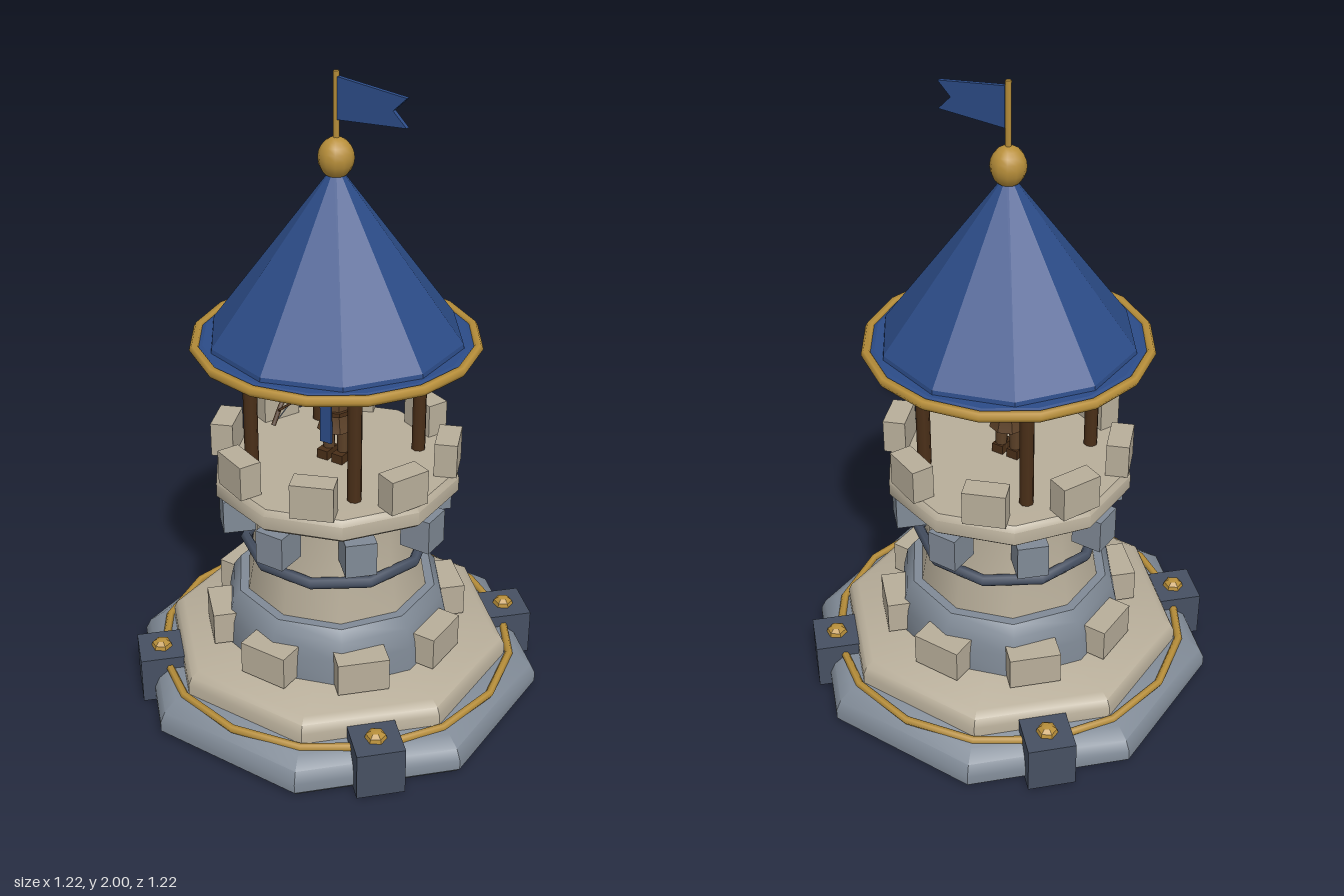
import * as THREE from 'three';
import { toCreasedNormals } from 'three/addons/utils/BufferGeometryUtils.js';

const mat = (name, color) => Object.assign(new THREE.MeshStandardMaterial({ color }), { name });

export function createModel() {
  const model = new THREE.Group();
  model.name = 'archerTower';
  const stone = mat('pale stone', 0xb8ae9a);
  const grey = mat('grey stone', 0x808a96);
  const slate = mat('dark slate', 0x465062);
  const gold = mat('gold', 0xb88f3a);
  const blue = mat('royal blue', 0x2c4c88);
  const wood = mat('dark wood', 0x4a2f18);
  const leather = mat('leather', 0x5c4128);
  const steel = mat('steel', 0x8d99a6);
  const skin = mat('skin', 0xb5a58e);

  const add = (name, geo, material, x = 0, y = 0, z = 0, parent = model) => {
    const mesh = new THREE.Mesh(geo, material);
    mesh.name = name;
    mesh.position.set(x, y, z);
    parent.add(mesh);
    return mesh;
  };
  // Faceted solid of revolution from [radius, height] pairs
  const turned = (points, sides, crease = 0.7) => toCreasedNormals(
    new THREE.LatheGeometry(points.map(p => new THREE.Vector2(...p)), sides), crease);
  // Horizontal hoop
  const hoop = (name, r, tube, sides, material, y) =>
    add(name, new THREE.TorusGeometry(r, tube, 6, sides).rotateX(Math.PI / 2), material, 0, y);
  // Ring of blocks facing outward
  const blockRing = (name, size, r, y, offset, material) => {
    for (let i = 0; i < 8; i++) {
      const a = (i + offset) * Math.PI / 4;
      add(name, new THREE.BoxGeometry(...size), material, r * Math.sin(a), y, r * Math.cos(a)).rotation.y = a;
    }
  };
  // Rod between two points
  const rod = (name, a, b, r, material, parent, sides = 6) => {
    const p = new THREE.Vector3(...a), q = new THREE.Vector3(...b);
    const m = add(name, new THREE.CylinderGeometry(r, r, p.distanceTo(q), sides), material, 0, 0, 0, parent);
    m.position.copy(p).lerp(q, 0.5);
    m.quaternion.setFromUnitVectors(new THREE.Vector3(0, 1, 0), q.sub(p).normalize());
    return m;
  };

  // Octagonal foundation
  add('foundation', turned([[0, 0], [0.645, 0], [0.662, 0.018], [0.662, 0.05], [0.645, 0.085], [0.605, 0.115], [0, 0.118]], 8), grey)
    .rotation.y = Math.PI / 8;
  hoop('foundationTrim', 0.573, 0.013, 16, gold, 0.117);
  add('upperStep', turned([[0, 0.1], [0.557, 0.1], [0.557, 0.15], [0.545, 0.175], [0.52, 0.19], [0, 0.192]], 8), stone)
    .rotation.y = Math.PI / 8;

  // Corner buttresses with gold studs
  for (const sx of [-1, 1]) for (const sz of [-1, 1]) {
    add('cornerBlock', new THREE.BoxGeometry(0.148, 0.156, 0.148), slate, sx * 0.408, 0.078, sz * 0.408)
      .rotation.y = Math.PI / 4;
    add('cornerStud', turned([[0.034, 0], [0.03, 0.014], [0.016, 0.024], [0, 0.026]], 6, 0.2), gold,
      sx * 0.408, 0.155, sz * 0.408);
  }

  // Tower shaft
  blockRing('lowerMerlon', [0.16, 0.108, 0.08], 0.373, 0.25, 0, stone);
  add('shaftSkirt', turned([[0.37, 0.19], [0.365, 0.27], [0.35, 0.335], [0.325, 0.37], [0, 0.372]], 10), grey);
  add('shaft', turned([[0.298, 0.36], [0.27, 0.52], [0.255, 0.7], [0.255, 0.73]], 10), stone);
  hoop('shaftBand', 0.288, 0.018, 10, slate, 0.508);
  add('shaftCollar', turned([[0.25, 0.685], [0.262, 0.69], [0.262, 0.708], [0.25, 0.715]], 10), grey);
  blockRing('corbel', [0.095, 0.11, 0.1], 0.315, 0.642, 0, grey);

  // Fighting platform
  add('platform', turned([[0, 0.72], [0.375, 0.72], [0.389, 0.732], [0.389, 0.775], [0.375, 0.792], [0, 0.794]], 10), stone);
  blockRing('upperMerlon', [0.13, 0.11, 0.07], 0.348, 0.848, 0.5, stone);
  for (const sx of [-1, 1]) for (const sz of [-1, 1])
    add('roofPost', new THREE.CylinderGeometry(0.022, 0.022, 0.41, 8), wood, sx * 0.187, 0.995, sz * 0.187);

  // Roof, finial and flag
  add('roofEave', turned([[0, 1.172], [0.4, 1.172], [0.425, 1.2], [0.4, 1.212], [0, 1.214]], 16, 0.2), blue);
  add('roofCone', turned([[0.388, 1.208], [0.385, 1.225], [0.012, 1.725]], 10, 0.2), blue);
  hoop('roofTrim', 0.424, 0.016, 16, gold, 1.2);
  add('finial', new THREE.SphereGeometry(0.053, 12, 10), gold, 0, 1.755).scale.y = 1.13;
  add('flagPole', new THREE.CylinderGeometry(0.009, 0.009, 0.22, 6), gold, 0, 1.89);
  const flag = new THREE.Shape([[0.008, 1.985], [0.23, 1.957], [0.187, 1.917], [0.23, 1.875], [0.008, 1.865]]
    .map(p => new THREE.Vector2(...p)));
  add('flag', new THREE.ExtrudeGeometry(flag, { depth: 0.014, bevelEnabled: false }), blue, 0, 0, -0.007);

  // Archer on the platform, aiming forward
  const archer = new THREE.Group();
  archer.name = 'archer';
  model.add(archer);
  for (const s of [-1, 1]) {
    add('leg', new THREE.CylinderGeometry(0.021, 0.018, 0.14, 8), leather, s * 0.026, 0.87, 0, archer);
    add('boot', new THREE.BoxGeometry(0.038, 0.03, 0.06), wood, s * 0.027, 0.809, 0.008, archer);
    add('shoulderPad', new THREE.SphereGeometry(0.031, 10, 8), steel, s * 0.07, 1.055, 0, archer);
  }
  add('tunic', turned([[0, 0.9], [0.06, 0.9], [0.042, 0.96], [0.05, 1.03], [0.042, 1.07], [0, 1.08]], 8), leather, 0, 0, 0, archer);
  add('belt', turned([[0.04, 0.95], [0.05, 0.953], [0.05, 0.967], [0.04, 0.97]], 8), wood, 0, 0, 0, archer);
  add('tabard', new THREE.BoxGeometry(0.04, 0.17, 0.008), blue, 0, 0.955, 0.056, archer);
  add('head', new THREE.SphereGeometry(0.047, 12, 10), skin, 0, 1.12, 0, archer);
  add('helmet', new THREE.SphereGeometry(0.057, 12, 6, 0, Math.PI * 2, 0, Math.PI / 2), steel, 0, 1.128, 0, archer);
  hoop('helmetRim', 0.054, 0.006, 12, steel, 1.13);
  rod('bowArm', [-0.07, 1.05, 0], [-0.045, 1.045, 0.1], 0.018, leather, archer);
  rod('drawArmUpper', [0.07, 1.05, 0], [0.055, 1.03, 0.06], 0.018, leather, archer);
  rod('drawArmLower', [0.055, 1.03, 0.06], [-0.005, 1.05, 0.07], 0.016, leather, archer);
  add('bowHand', new THREE.SphereGeometry(0.02, 8, 6), skin, -0.045, 1.045, 0.105, archer);
  add('drawHand', new THREE.SphereGeometry(0.02, 8, 6), skin, -0.008, 1.05, 0.07, archer);
  const bow = new THREE.CatmullRomCurve3([[-0.06, 0.995, 0.245], [-0.055, 1.06, 0.2], [-0.05, 1.095, 0.14], [-0.04, 1.105, 0.05]]
    .map(p => new THREE.Vector3(...p)));
  add('bow', new THREE.TubeGeometry(bow, 12, 0.008, 6), wood, 0, 0, 0, archer);
  rod('bowString', [-0.06, 0.995, 0.245], [-0.04, 1.105, 0.05], 0.002, steel, archer, 4);
  rod('arrow', [-0.02, 1.055, 0.02], [-0.05, 1.04, 0.23], 0.004, wood, archer, 5);
  rod('quiver', [0.03, 0.96, -0.06], [-0.02, 1.07, -0.06], 0.02, wood, archer, 8);

  return model;
}
